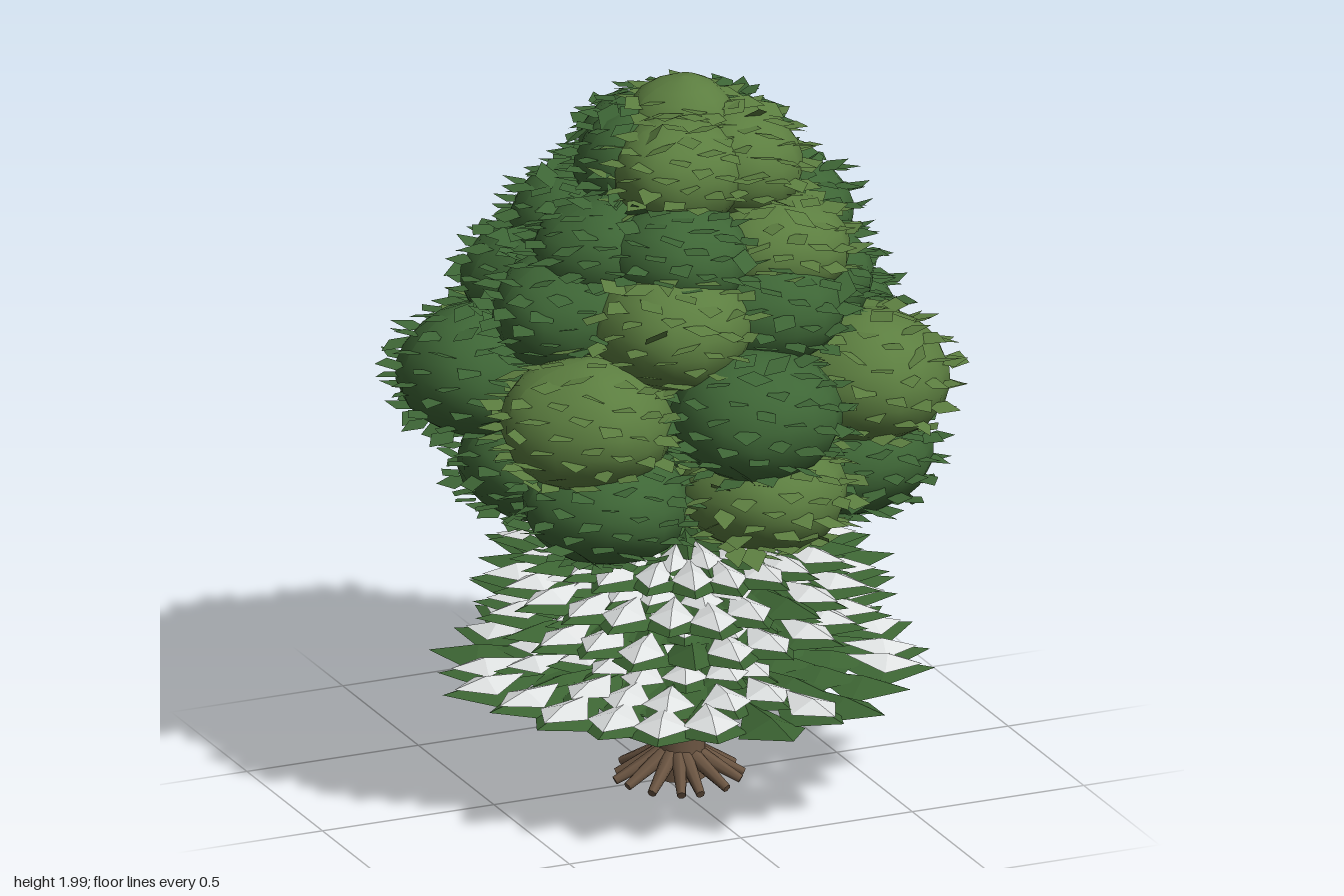
import * as THREE from 'three';

const mat = (name, color, side = THREE.FrontSide) => {
  const m = new THREE.MeshStandardMaterial({ color, side });
  m.name = name;
  return m;
};
const CX = 0.05; // trunk axis
const rad = THREE.MathUtils.degToRad;

function seeded(seed) {
  return () => {
    seed = (seed * 16807) % 2147483647;
    return seed / 2147483647;
  };
}

// flat-shaded mesh from a list of corner vectors, three per face
function faceMesh(name, corners, material) {
  const g = new THREE.BufferGeometry().setFromPoints(corners);
  g.computeVertexNormals();
  const m = new THREE.Mesh(g, material);
  m.name = name;
  return m;
}

export function createModel() {
  const rnd = seeded(4127);
  const jit = (s) => (rnd() - 0.5) * 2 * s;
  const root = new THREE.Group();
  root.name = 'tree';
  const bark = mat('bark brown', 0x6b5542);
  const needle = mat('needle green', 0x3c6433, THREE.DoubleSide);
  const snow = mat('snow white', 0xdfe2e2, THREE.DoubleSide);
  const light = mat('light leaf green', 0x5c7e40, THREE.DoubleSide);
  const dark = mat('dark leaf green', 0x3e6636, THREE.DoubleSide);

  // trunk
  const trunk = new THREE.Mesh(new THREE.CylinderGeometry(0.05, 0.068, 1.3, 14), bark);
  trunk.name = 'trunk';
  trunk.position.set(CX - 0.005, 0.66, 0);
  root.add(trunk);

  // splayed roots
  const roots = new THREE.Group();
  roots.name = 'roots';
  for (let i = 0; i < 15; i++) {
    const a = (i / 15) * Math.PI * 2 + jit(0.08), r = 0.17 + jit(0.012), x = CX - 0.012;
    const p = new THREE.Vector3(x + Math.sin(a) * 0.04, 0.085, Math.cos(a) * 0.04);
    const q = new THREE.Vector3(x + Math.sin(a) * r, 0.016, Math.cos(a) * r);
    const d = q.clone().sub(p);
    const m = new THREE.Mesh(new THREE.CylinderGeometry(0.012, 0.024, d.length(), 7), bark);
    m.name = 'root';
    m.position.copy(p).add(q).multiplyScalar(0.5);
    m.quaternion.setFromUnitVectors(new THREE.Vector3(0, 1, 0), d.normalize());
    roots.add(m);
  }
  root.add(roots);

  // skirts of overlapping pointed boughs: [rim height, radius, rise]
  const tiers = [[0.34, 0.685, 0.06], [0.52, 0.585, 0.055], [0.61, 0.575, 0.05], [0.69, 0.51, 0.075]];
  tiers.forEach(([y, R, rise], t) => {
    const boughs = [], caps = [];
    const kite = (out, a, r0, r1, w, y0, y1, ridge, droop) => {
      const at = (r, s, h) => new THREE.Vector3(
        CX + Math.sin(a) * r + Math.cos(a) * s, h, Math.cos(a) * r - Math.sin(a) * s);
      const rm = r0 + (r1 - r0) * 0.55, ym = (y0 + y1) / 2;
      const b = at(r0, 0, y0), e = at(r1, 0, y1), c = at(rm, 0, ym + ridge);
      const l = at(rm, -w, ym - droop), r = at(rm, w, ym - droop);
      out.push(b, l, c, l, e, c, e, r, c, r, b, c);
    };
    for (let k = 0; k < 4; k++) {
      const tip = R * (1 - k * 0.22), n = 24 - k * 4;
      const h = y + rise * (k / 3.4), len = 0.3 - k * 0.03;
      for (let i = 0; i < n; i++) {
        const a = ((i + (k % 2) / 2) / n) * Math.PI * 2 + t * 0.4 + jit(0.04);
        const r1 = tip - (i % 2) * 0.02 + jit(0.012), r0 = Math.max(0.02, r1 - len);
        const w = (tip / n) * Math.PI * 1.1, dy = jit(0.006);
        kite(boughs, a, r0, r1, w, h + 0.014 + dy, h - 0.004 + dy, 0.012, 0.032);
        if (rnd() < 0.74) {
          kite(caps, a, r0 + 0.06, r1 - 0.035, w * 0.78, h + 0.026 + dy, h + 0.006 + dy, 0.016, 0.012);
        }
      }
    }
    root.add(faceMesh('boughTier', boughs, needle), faceMesh('snowOnTier', caps, snow));
    const prof = [[0.03, y - 0.012], [R * 0.62, y - 0.006], [R * 0.66, y], [0.03, y + rise * 0.85]];
    const core = new THREE.Mesh(
      new THREE.LatheGeometry(prof.map((p) => new THREE.Vector2(...p)), 32), needle);
    core.name = 'tierCore';
    core.position.x = CX;
    root.add(core);
  });

  // crown clumps in rings: height, ring radius, half width, half height,
  // then each clump's angle, tone (Light or Dark) and shift outward
  const rings = [
    [0.96, 0.45, 0.225, 0.16, '8L 60D+.01 111L 163D+.05 205L-.05 270D-.05 314D+.04'],
    [1.19, 0.47, 0.23, 0.18, '3D 57L+.04 104D 147D-.05 190D-.06 232L-.06 258D+.06 309L+.05'],
    [1.41, 0.35, 0.22, 0.165, '335L 28D-.05 75D-.03 118L+.02 160D+.03 200D 240D 285D'],
    [1.57, 0.25, 0.2, 0.15, '338D 42L+.04 88D+.05 138L+.03 190D+.03 240D 290D'],
    [1.76, 0.13, 0.185, 0.155, '338L 55L+.03 115D+.02 190D 265D-.04'],
    [1.865, 0, 0.15, 0.13, '0L'],
    [1.2, 0, 0.4, 0.36, '0D'],
    [1.5, 0, 0.27, 0.3, '0D'],
  ];
  const clumps = [];
  rings.forEach(([y, R, w, h, list]) => list.split(' ').forEach((s) => {
    const lit = s.includes('L');
    const [deg, shift] = s.split(lit ? 'L' : 'D').map(Number);
    const a = rad(deg), r = R + shift;
    clumps.push({
      c: new THREE.Vector3((R ? 0.03 : CX) + Math.sin(a) * r, y + (R ? jit(0.015) : 0), Math.cos(a) * r),
      s: new THREE.Vector3(w, h, w), lit,
    });
  }));

  const crown = new THREE.Group();
  crown.name = 'crown';
  const leaves = { true: [], false: [] };
  const up = new THREE.Vector3(0, 1, 0);
  clumps.forEach((b, bi) => {
    // slightly lumpy ellipsoid
    const g = new THREE.SphereGeometry(1, 16, 11);
    const p = g.attributes.position;
    for (let i = 0; i < p.count; i++) {
      const x = p.getX(i), y = p.getY(i), z = p.getZ(i);
      const k = 1 + 0.04 * Math.sin(4 * x + bi) * Math.cos(3 * z + 2 * y + bi * 2);
      p.setXYZ(i, x * k * b.s.x, y * k * b.s.y, z * k * b.s.z);
    }
    g.computeVertexNormals();
    const m = new THREE.Mesh(g, b.lit ? light : dark);
    m.name = 'leafClump';
    m.position.copy(b.c);
    crown.add(m);

    // loose, nearly level leaves over the exposed surface
    const n = 105;
    for (let i = 0; i < n; i++) {
      const v = 1 - (2 * (i + 0.5)) / n, q = Math.sqrt(1 - v * v), a = i * 2.39996 + bi;
      const d = new THREE.Vector3(Math.sin(a) * q, v, Math.cos(a) * q);
      const c = d.clone().multiply(b.s).multiplyScalar(1.06 + jit(0.05)).add(b.c);
      if (clumps.some((o) => o !== b && c.clone().sub(o.c).divide(o.s).length() < 0.98)) continue;
      if (c.y > 1.96) continue;
      const f = new THREE.Vector3(d.x + jit(0.7), jit(0.2), d.z + jit(0.7)).normalize();
      const s = new THREE.Vector3().crossVectors(up, f).normalize();
      s.y += jit(0.25);
      const L = 0.05 + jit(0.008), W = 0.033 + jit(0.006);
      const tip = c.clone().addScaledVector(f, L), tail = c.clone().addScaledVector(f, -L);
      const l = c.clone().addScaledVector(s, W), r = c.clone().addScaledVector(s, -W);
      leaves[b.lit].push(tail, tip, l, tail, r, tip);
    }
  });
  crown.add(faceMesh('lightLeaves', leaves.true, light), faceMesh('darkLeaves', leaves.false, dark));
  root.add(crown);
  return root;
}
